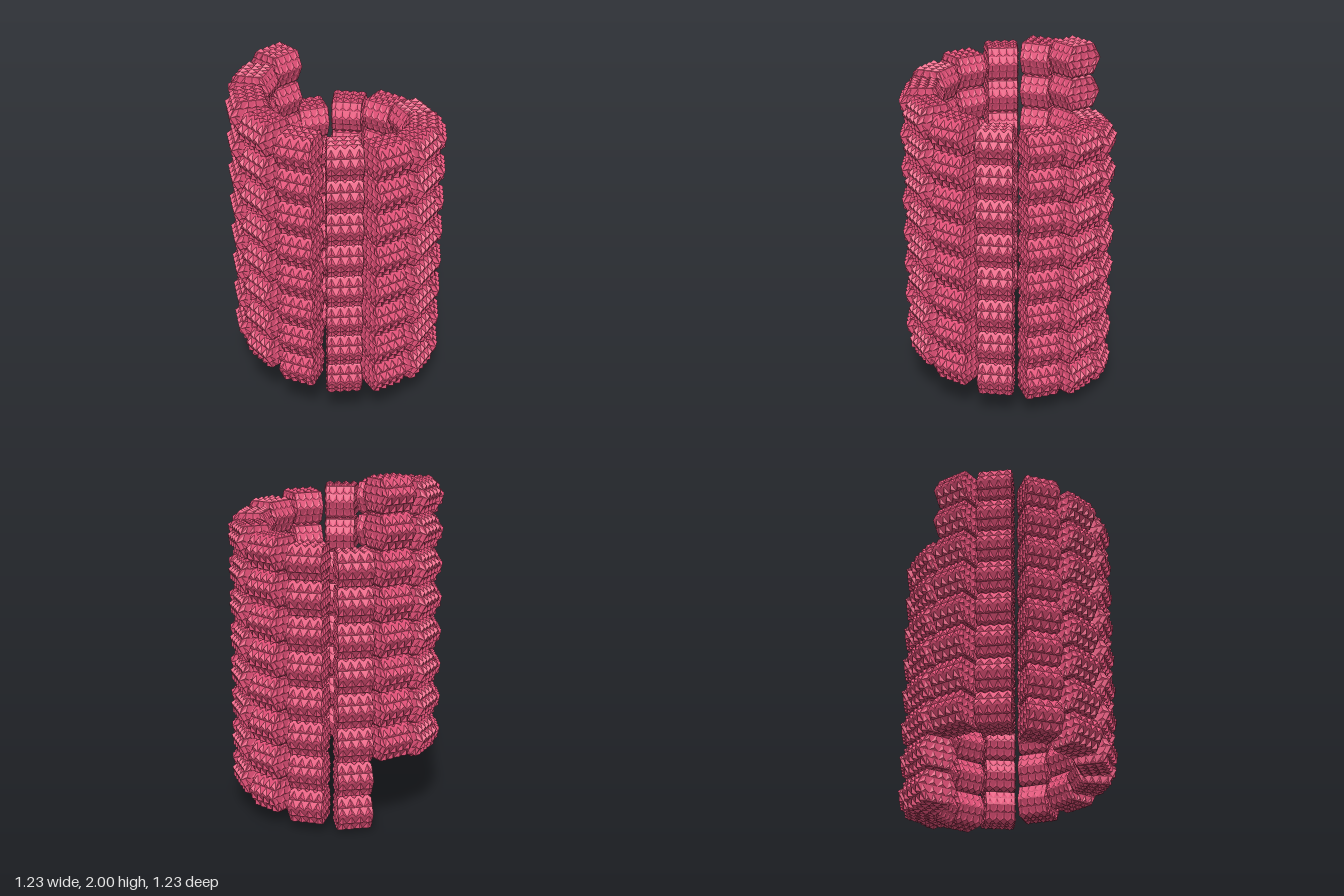
import * as THREE from 'three';

const COLUMNS = 13, LAYERS = 8;
const PITCH = 0.199;        // height of one block in a column
const STEP = 0.0323;        // rise from one column to the next
const FIRST = 0.11;         // centre of the lowest block
const rad = THREE.MathUtils.degToRad;

// Adds a quad a-b-c-d (counter-clockwise from outside) as a triangle lattice,
// with a small pyramid on every upright triangle.
function addSpikedQuad(out, [a, b, c, d], cols, rows, spike) {
  const at = (u, v) => {
    u = THREE.MathUtils.clamp(u, 0, 1);
    return a.clone().lerp(b, u).lerp(d.clone().lerp(c, u), v);
  };
  const tri = (p, q, r) => out.push(...p.toArray(), ...q.toArray(), ...r.toArray());
  const normal = c.clone().sub(a).cross(d.clone().sub(b)).normalize();
  for (let j = 0; j < rows; j++) {
    const v0 = j / rows, v1 = (j + 1) / rows;
    for (let i = -1; i < cols; i++) {
      // flat triangle between two pyramids
      tri(at((i + 1) / cols, v0), at((i + 1.5) / cols, v1), at((i + 0.5) / cols, v1));
      if (i < 0) continue;
      const base = [at(i / cols, v0), at((i + 1) / cols, v0), at((i + 0.5) / cols, v1)];
      const apex = base[0].clone().add(base[1]).add(base[2]).divideScalar(3)
        .addScaledVector(normal, spike);
      for (let k = 0; k < 3; k++) tri(base[k], base[(k + 1) % 3], apex);
    }
  }
}

// One block: a hexagonal section in radius and height, a little wider outside.
function blockGeometry() {
  const half = 0.09;
  const section = [           // radius, height
    [0.555, -half], [0.605, 0], [0.555, half],
    [0.405, half], [0.365, 0], [0.405, -half],
  ];
  const point = (i, side) => {
    const [r, y] = section[(i + 6) % 6];
    const w = THREE.MathUtils.mapLinear(r, 0.365, 0.605, 0.084, 0.1);
    return new THREE.Vector3(side * w, y, r);
  };
  const out = [];
  // outer faces, top, inner faces, bottom
  const spikes = [0.018, 0.018, 0.018, 0.006, 0.006, 0.018];
  for (let i = 0; i < 6; i++) {
    const rows = i === 2 || i === 5 ? 3 : 2;
    const quad = [point(i, -1), point(i, 1), point(i + 1, 1), point(i + 1, -1)];
    // inner faces start from their lower edge so the triangles stay upright
    if (i === 3 || i === 4) quad.push(...quad.splice(0, 2));
    addSpikedQuad(out, quad, 4, rows, spikes[i]);
  }
  // flanks, lower and upper half
  for (const [inLow, outLow, outHigh, inHigh] of [[5, 0, 1, 4], [4, 1, 2, 3]]) {
    addSpikedQuad(out, [point(outLow, 1), point(inLow, 1), point(inHigh, 1), point(outHigh, 1)], 4, 2, 0.009);
    addSpikedQuad(out, [point(inLow, -1), point(outLow, -1), point(outHigh, -1), point(inHigh, -1)], 4, 2, 0.009);
  }
  const geometry = new THREE.BufferGeometry();
  geometry.setAttribute('position', new THREE.Float32BufferAttribute(out, 3));
  geometry.computeVertexNormals();
  return geometry;
}

export function createModel() {
  const model = new THREE.Group();
  model.name = 'spiralTower';
  const geometry = blockGeometry();
  const material = new THREE.MeshStandardMaterial({ color: 0xe6527a, flatShading: true });

  // columns climb step by step around the ring, starting at the back
  for (let k = 0; k < COLUMNS; k++) {
    const column = new THREE.Group();
    column.name = `column${k + 1}`;
    column.rotation.y = Math.PI - rad(24 + 27.9 * k);
    column.position.y = FIRST + STEP * k;
    for (let n = 0; n < LAYERS; n++) {
      const block = new THREE.Mesh(geometry, material);
      block.name = 'spikedBlock';
      block.position.y = PITCH * n;
      column.add(block);
    }
    model.add(column);
  }
  return model;
}
